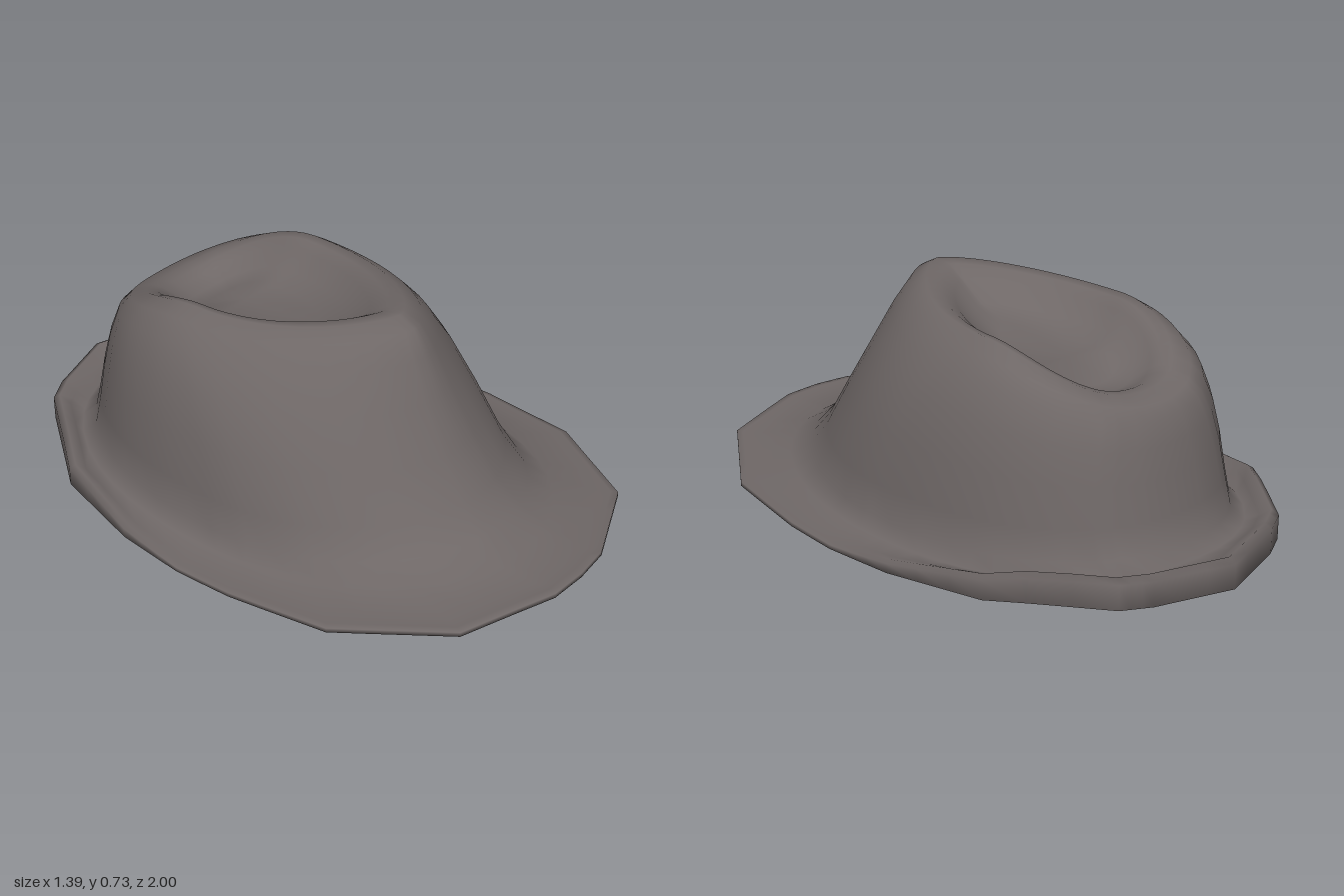
import * as THREE from 'three';

// Half outline of the brim, back to front: [x, z]
const OUTLINE = [[0, -1], [0.25, -0.92], [0.34, -0.87], [0.58, -0.56], [0.67, -0.24], [0.695, 0],
  [0.69, 0.2], [0.645, 0.535], [0.435, 0.86], [0.13, 0.985], [0, 0.995]];

// Crown rings, dent centre to foot: zBack, zFront, half width, z of widest point,
// height at back, side and front, and how pointed the front is
const CROWN = [
  [-0.3, -0.3, 0, -0.3, 0.56, 0.56, 0.56, 1],
  [-0.44, -0.02, 0.125, -0.3, 0.515, 0.56, 0.585, 1.1],
  [-0.5, 0.1, 0.185, -0.29, 0.51, 0.59, 0.625, 1.4],
  [-0.55, 0.19, 0.23, -0.27, 0.53, 0.65, 0.685, 1.5],
  [-0.58, 0.25, 0.26, -0.26, 0.543, 0.676, 0.72, 1.45],
  [-0.62, 0.31, 0.29, -0.25, 0.545, 0.683, 0.728, 1.4],
  [-0.68, 0.365, 0.337, -0.25, 0.527, 0.652, 0.7, 1.3],
  [-0.715, 0.41, 0.388, -0.22, 0.49, 0.6, 0.62, 1.18],
  [-0.74, 0.465, 0.445, -0.15, 0.42, 0.5, 0.5, 1.12],
  [-0.765, 0.547, 0.488, -0.08, 0.33, 0.36, 0.35, 1.06],
  [-0.79, 0.63, 0.52, -0.02, 0.22, 0.2, 0.22, 1.02],
  [-0.815, 0.71, 0.535, 0, 0.13, 0.1, 0.145, 0.93],
  [-0.86, 0.8, 0.575, 0, 0.095, 0.062, 0.092, 0.88],
];

// Brim rings over the rolled edge: scale of outline, height at back, side and front
const BRIM = [
  [0.935, 0.115, 0.051, 0.083],
  [0.975, 0.14, 0.051, 0.089],
  [1, 0.125, 0.048, 0.088],
  [1, 0.045, 0.034, 0.072],
  [0.96, 0.028, 0.016, 0.065],
  [0.89, 0.025, 0, 0.057],
];

// Edge of the opening under the hat
const OPENING = [-0.8, 0.61, 0.525, 0, 0.06, 0.045, 0.07, 1];

// Columns around the hat: each outline edge is cut in three, then mirrored
function makeColumns() {
  const half = [];
  for (let i = 0; i < OUTLINE.length - 1; i++) {
    for (let k = 0; k < 3; k++) {
      half.push(OUTLINE[i].map((v, j) => v + (OUTLINE[i + 1][j] - v) * k / 3));
    }
  }
  half.push(OUTLINE[OUTLINE.length - 1]);
  const mirrored = half.slice(1, -1).reverse().map(([x, z]) => [-x, z]);
  return [...half, ...mirrored].map(([x, z]) => ({ x, z, angle: Math.atan2(x / 0.695, -z) }));
}

// Oval with a full, rounded back and a front that can be pointed
function ovalPoint([zBack, zFront, width, zWide, yBack, ySide, yFront, point], { angle }) {
  const c = Math.abs(Math.cos(angle)), s = Math.sin(angle);
  const front = Math.cos(angle) < 0;
  const x = width * Math.sign(s) * Math.pow(Math.abs(s), front ? point : 0.87);
  const z = front ? zWide + c * (zFront - zWide) : zWide + Math.pow(c, 0.87) * (zBack - zWide);
  const y = front ? ySide + c * c * (yFront - ySide) : ySide + Math.pow(c, 1.5) * (yBack - ySide);
  return [x, y, z];
}

// The brim rises gently to the front and sooner to the back
function brimPoint([scale, yBack, ySide, yFront], { x, z, angle }) {
  const c = -Math.cos(angle);
  const y = c > 0
    ? ySide + c * c * (yFront - ySide)
    : ySide + Math.pow(Math.min(1, -c / 0.7), 1.3) * (yBack - ySide);
  return [x * scale, y, z * scale];
}

// Index joining neighbouring rings of n points between two ring numbers
function joinRings(n, from, to) {
  const index = [];
  for (let r = from; r < to; r++) {
    for (let i = 0; i < n; i++) {
      const j = (i + 1) % n;
      const a = r * n + i, b = r * n + j, c = a + n, d = b + n;
      index.push(a, b, c, b, d, c);
    }
  }
  return index;
}

function makeSheet(rings) {
  const sheet = new THREE.BufferGeometry();
  sheet.setAttribute('position', new THREE.Float32BufferAttribute(rings.flat(2), 3));
  sheet.setIndex(joinRings(rings[0].length, 0, rings.length - 1));
  sheet.computeVertexNormals();
  return sheet;
}

export function createModel() {
  const columns = makeColumns();
  const n = columns.length;
  const crownRings = CROWN.map(r => columns.map(c => ovalPoint(r, c)));
  const brimRings = BRIM.map(r => columns.map(c => brimPoint(r, c)));
  const opening = columns.map(c => ovalPoint(OPENING, c));
  const foot = CROWN.length - 2;

  // Crown and brim share vertices and normals, so the felt stays smooth between them
  const shellRings = [...crownRings, ...brimRings, opening];
  const shell = makeSheet(shellRings);
  // The dent centre is a collapsed ring, so its normal is set upright
  for (let i = 0; i < n; i++) shell.attributes.normal.setXYZ(i, 0, 1, 0);

  const felt = new THREE.MeshStandardMaterial({ color: 0x6e6766, side: THREE.DoubleSide });
  felt.name = 'greyFelt';

  const hat = new THREE.Group();
  hat.name = 'hat';
  const addPart = (name, geometry) => {
    const mesh = new THREE.Mesh(geometry, felt);
    mesh.name = name;
    hat.add(mesh);
  };
  const cutShell = (from, to) => {
    const part = new THREE.BufferGeometry();
    part.setAttribute('position', shell.attributes.position);
    part.setAttribute('normal', shell.attributes.normal);
    part.setIndex(joinRings(n, from, to));
    return part;
  };
  addPart('crown', cutShell(0, foot));
  addPart('brim', cutShell(foot, shellRings.length - 1));
  // Inner wall from the opening up to the crown, with a sharp lower edge
  addPart('lining', makeSheet([opening, crownRings[foot - 2]]));
  return hat;
}
